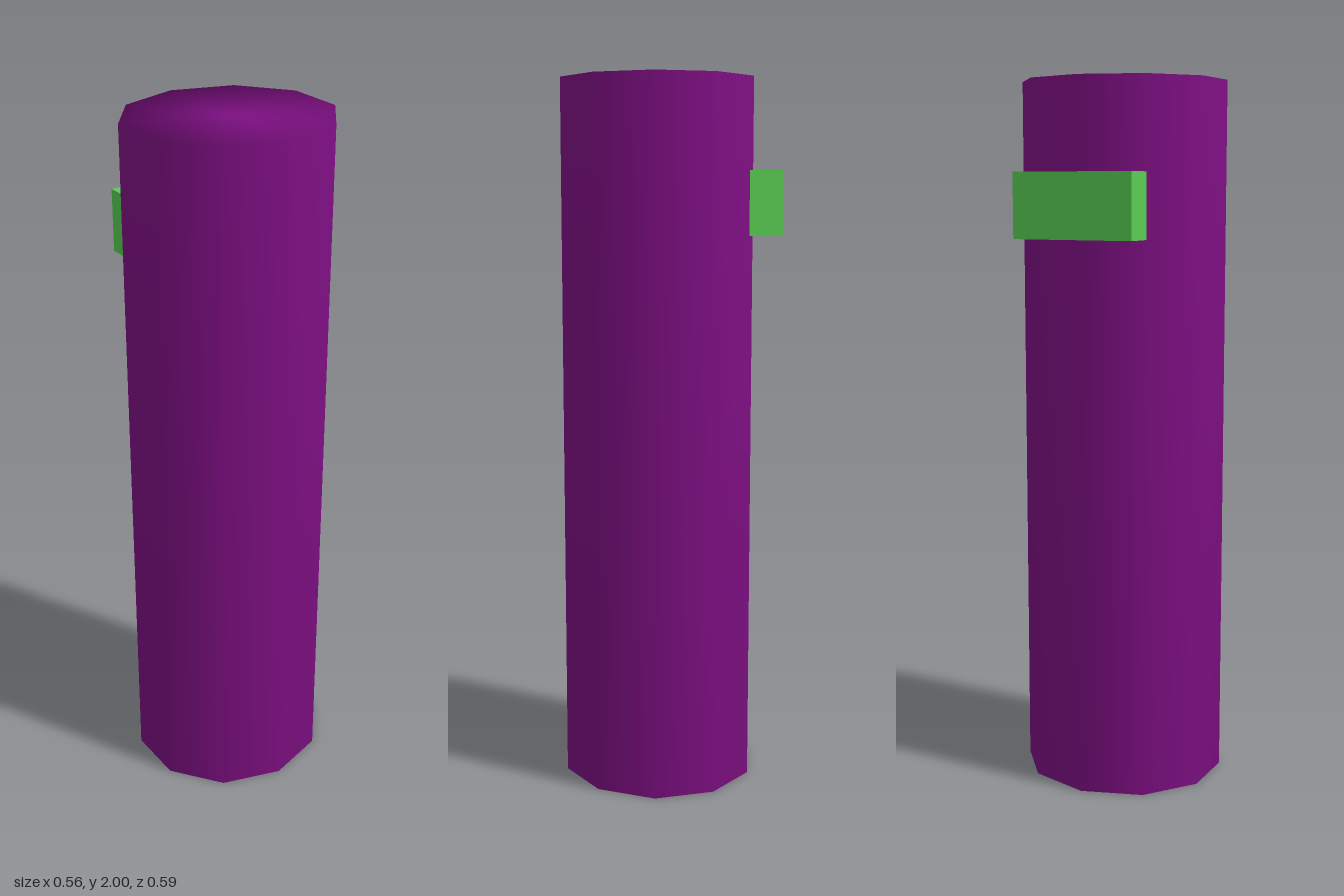
import * as THREE from 'three';
import { mergeVertices } from 'three/addons/utils/BufferGeometryUtils.js';

export function createModel() {
  const model = new THREE.Group();

  // Ten-sided column, slightly wider than deep, shaded smoothly across its rims
  const cylinder = new THREE.CylinderGeometry(0.278, 0.278, 2, 10, 1);
  cylinder.scale(1.05, 1, 1);
  cylinder.deleteAttribute('uv');
  cylinder.deleteAttribute('normal');
  const columnGeometry = mergeVertices(cylinder, 1e-4);
  columnGeometry.computeVertexNormals();
  const column = new THREE.Mesh(columnGeometry, new THREE.MeshStandardMaterial({ color: 0x7d0f82 }));
  column.name = 'column';
  column.position.set(0, 1, 0.016);
  model.add(column);

  // Block set into the upper back of the column
  const block = new THREE.Mesh(
    new THREE.BoxGeometry(0.356, 0.18, 0.1),
    new THREE.MeshStandardMaterial({ color: 0x58cc52 })
  );
  block.name = 'backBlock';
  block.position.set(0.003, 1.658, -0.246);
  model.add(block);

  return model;
}
